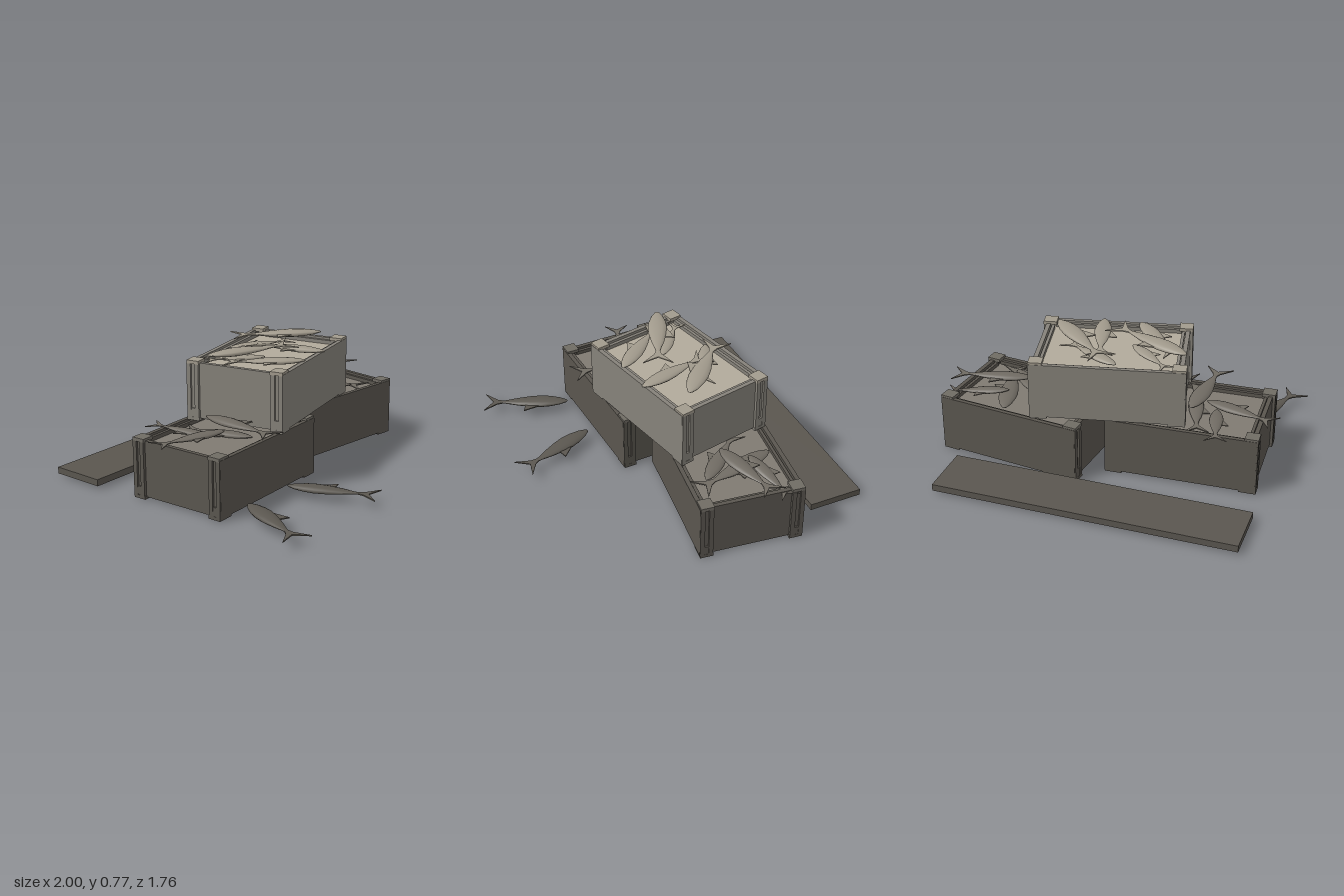
import * as THREE from 'three';

const mat = (name, color) => {
  const m = new THREE.MeshStandardMaterial({ color });
  m.name = name;
  return m;
};

export function createModel() {
  const root = new THREE.Group();
  root.name = 'fishCrates';
  const paleWood = mat('paleWood', 0xa29b8d);
  const paleBoard = mat('paleBoard', 0x86827a);
  const paleFill = mat('paleFill', 0xb2aa9b);
  const paleFish = mat('paleFish', 0xa19a8c);
  const greyWood = mat('greyWood', 0x706c64);
  const greyFill = mat('greyFill', 0x7f7a72);
  const greyFish = mat('greyFish', 0x706b63);
  const darkWood = mat('darkWood', 0x5a564f);
  const darkFish = mat('darkFish', 0x5b5750);
  const underside = mat('underside', 0x363530);

  // Every wooden piece has a damp, darker bottom face
  function box(parent, name, m, w, h, d, x, y, z) {
    const b = new THREE.Mesh(new THREE.BoxGeometry(w, h, d), [m, m, m, underside, m, m]);
    b.name = name;
    b.position.set(x, y, z);
    parent.add(b);
  }

  // Crate: boards, corner posts with feet, end battens and a bed of fish
  function crate(name, board, cap, fill, x, y, z, turn) {
    const g = new THREE.Group();
    g.name = name;
    const L = 0.895, D = 0.614;
    box(g, 'floor', board, L - 0.04, 0.02, D - 0.02, 0, 0.022, 0);
    box(g, 'fishBed', fill, L - 0.08, 0.02, D - 0.05, 0, 0.3, 0);
    for (const s of [-1, 1]) {
      box(g, 'sideBoard', board, L - 0.012, 0.333, 0.026, 0, 0.1785, s * (D / 2 - 0.013));
      box(g, 'innerSideRail', board, L - 0.14, 0.03, 0.018, 0, 0.318, s * (D / 2 - 0.04));
      box(g, 'endBoard', board, 0.026, 0.333, D - 0.05, s * (L / 2 - 0.03), 0.1785, 0);
      box(g, 'innerEndRail', board, 0.018, 0.03, D - 0.14, s * (L / 2 - 0.058), 0.318, 0);
      for (const t of [-1, 1]) {
        const cx = s * (L / 2 - 0.04), cz = t * (D / 2 - 0.041);
        box(g, 'postCap', cap, 0.08, 0.02, 0.078, cx, 0.348, cz);
        box(g, 'foot', board, 0.1, 0.02, 0.078, s * (L / 2 - 0.05), 0.01, cz);
        box(g, 'postCore', board, 0.05, 0.32, 0.07, s * (L / 2 - 0.037), 0.175, cz);
        // paired battens leave a slot between them
        for (const o of [0.014, 0.064]) {
          box(g, 'endBatten', board, 0.024, 0.335, 0.026, s * (L / 2 - 0.012), 0.175, t * (D / 2 - o));
        }
        box(g, 'battenBase', board, 0.022, 0.065, 0.07, s * (L / 2 - 0.013), 0.04, cz);
      }
    }
    g.position.set(x, y, z);
    g.rotation.y = turn;
    root.add(g);
  }
  crate('leftCrate', darkWood, greyWood, greyFill, -0.468, 0, -0.015, 0.047);
  crate('rightCrate', darkWood, greyWood, greyFill, 0.487, 0, -0.155, -0.122);
  crate('topCrate', paleBoard, paleWood, paleFill, 0.004, 0.35, -0.075, 0.212);

  // Loose plank behind the crates
  box(root, 'plank', darkWood, 1.79, 0.04, 0.33, -0.08, 0.035, -0.715);

  // Fish lying on its side: head at the origin, tail along +x
  const LEN = 0.53;
  const profile = [[0, 0], [0.014, 0.01], [0.034, 0.05], [0.05, 0.11], [0.056, 0.17],
    [0.051, 0.24], [0.036, 0.32], [0.018, 0.39], [0.01, 0.435], [0, 0.45]];
  const bodyGeo = new THREE.LatheGeometry(profile.map(p => new THREE.Vector2(p[0], p[1])), 12);
  bodyGeo.rotateZ(-Math.PI / 2);
  bodyGeo.scale(1, 0.37, 1);
  const fin = pts => new THREE.ExtrudeGeometry(
    new THREE.Shape(pts.map(p => new THREE.Vector2(p[0], p[1]))),
    { depth: 0.007, bevelEnabled: false }).translate(0, 0, -0.0035).rotateX(Math.PI / 2);
  const tailGeo = fin([[0.41, -0.01], [0.45, -0.022], [0.53, -0.085], [0.475, 0],
    [0.53, 0.085], [0.45, 0.022], [0.41, 0.01]]);
  const finGeo = fin([[0.18, -0.05], [0.275, -0.098], [0.27, -0.035]]);

  function fish(m, hx, hz, tx, tz, y, pitch = 0) {
    const g = new THREE.Group();
    g.name = 'fish';
    for (const [n, geo] of [['body', bodyGeo], ['tailFin', tailGeo], ['dorsalFin', finGeo]]) {
      const part = new THREE.Mesh(geo, m);
      part.name = n;
      g.add(part);
    }
    const dx = tx - hx, dz = tz - hz;
    g.scale.setScalar(Math.hypot(dx, dz) / LEN);
    g.rotation.set(0, Math.atan2(-dz, dx), pitch);
    g.position.set(hx, y, hz);
    root.add(g);
  }
  // Fallen fish
  fish(darkFish, -0.72, 0.36, -0.925, 0.85, 0.06);
  fish(darkFish, -0.38, 0.36, -0.19, 0.85, 0.06);
  // Left crate
  fish(greyFish, -0.54, 0.04, -0.97, -0.09, 0.362);
  fish(greyFish, -0.49, -0.14, -0.53, 0.38, 0.4);
  fish(greyFish, -0.61, 0.0, -0.7, -0.38, 0.335, 0.06);
  fish(greyFish, -0.44, 0.16, -0.56, -0.26, 0.32);
  // Right crate
  fish(greyFish, 0.57, -0.39, 0.71, 0.13, 0.335);
  fish(greyFish, 0.51, -0.1, 0.98, -0.2, 0.4);
  fish(greyFish, 0.6, -0.24, 0.985, -0.3, 0.372, -0.1);
  fish(greyFish, 0.67, 0.06, 0.36, -0.27, 0.345);
  // Top crate
  fish(paleFish, -0.46, -0.155, 0.04, 0.065, 0.745);
  fish(paleFish, 0.38, 0.03, -0.02, -0.34, 0.745);
  fish(paleFish, -0.06, 0.245, -0.38, -0.11, 0.7);
  fish(paleFish, 0.16, 0.22, 0.03, -0.24, 0.7);
  fish(paleFish, -0.09, -0.3, 0.27, -0.12, 0.69);
  fish(paleFish, -0.1, -0.02, -0.38, -0.25, 0.685);
  return root;
}
